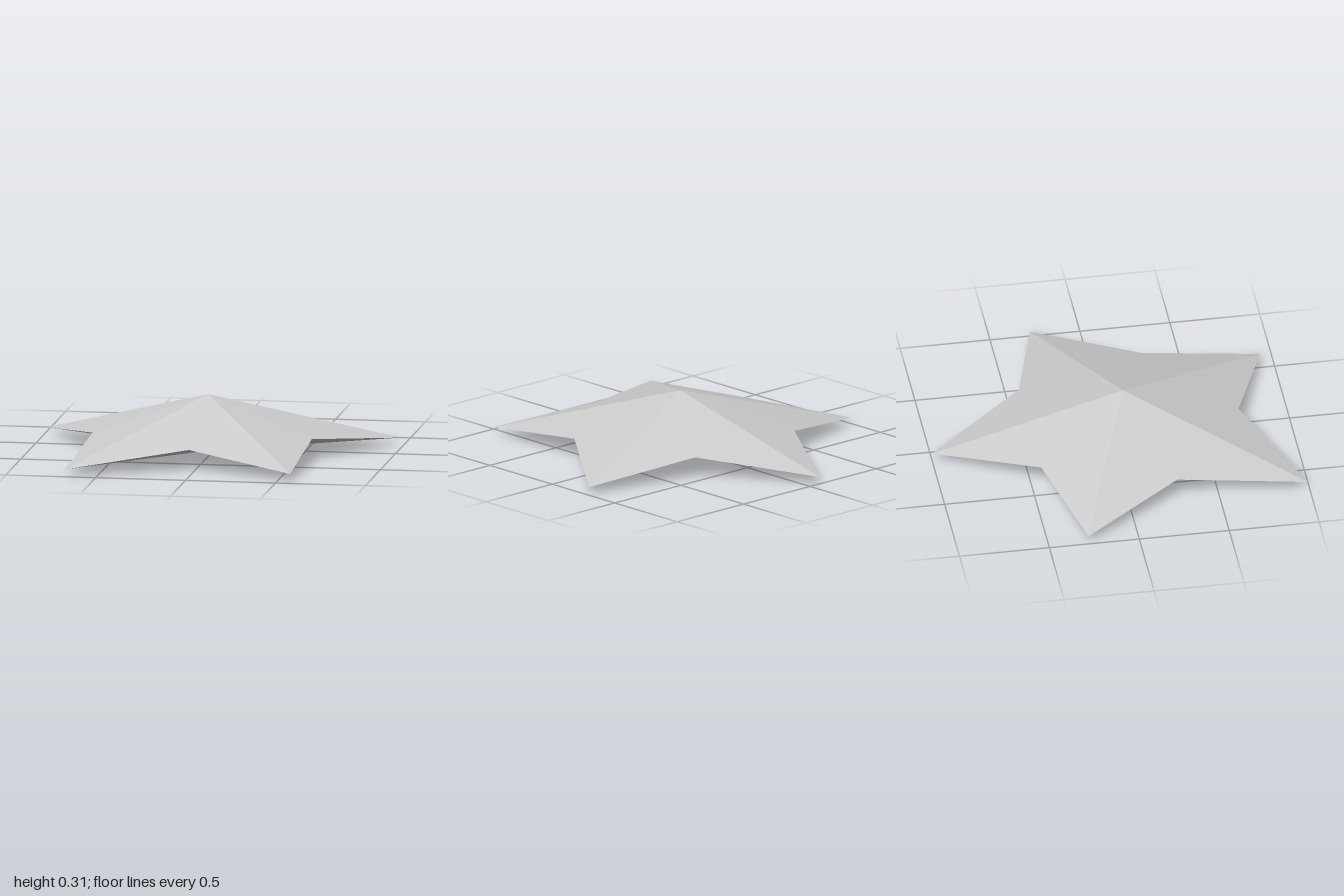
import * as THREE from 'three';

export function createModel() {
  const grey = new THREE.MeshStandardMaterial({ color: 0xcccccc });
  grey.name = 'light grey';
  grey.flatShading = true;

  // Slightly irregular star rim, clockwise from the back: tip, notch, tip, notch...
  const tipY = 0.04, notchY = 0.117;
  const rim = [
    [-0.07, -1.0], [0.345, -0.447], [0.985, -0.28], [0.58, 0.27], [0.57, 0.93],
    [-0.03, 0.712], [-0.672, 0.993], [-0.64, 0.27], [-0.985, -0.28], [-0.405, -0.447],
  ].map(([x, z], i) => [x, i % 2 ? notchY : tipY, z]);

  // Fan of facets from one central peak to the rim
  function fan(name, peakY, up) {
    const peak = [-0.03, peakY, 0.07];
    const positions = [];
    rim.forEach((a, i) => {
      const b = rim[(i + 1) % rim.length];
      positions.push(...peak, ...(up ? b : a), ...(up ? a : b));
    });
    const geometry = new THREE.BufferGeometry();
    geometry.setAttribute('position', new THREE.Float32BufferAttribute(positions, 3));
    geometry.computeVertexNormals();
    const mesh = new THREE.Mesh(geometry, grey);
    mesh.name = name;
    return mesh;
  }

  const star = new THREE.Group();
  star.name = 'star';
  star.add(fan('starTop', 0.315, true), fan('starUnderside', 0, false));
  return star;
}
